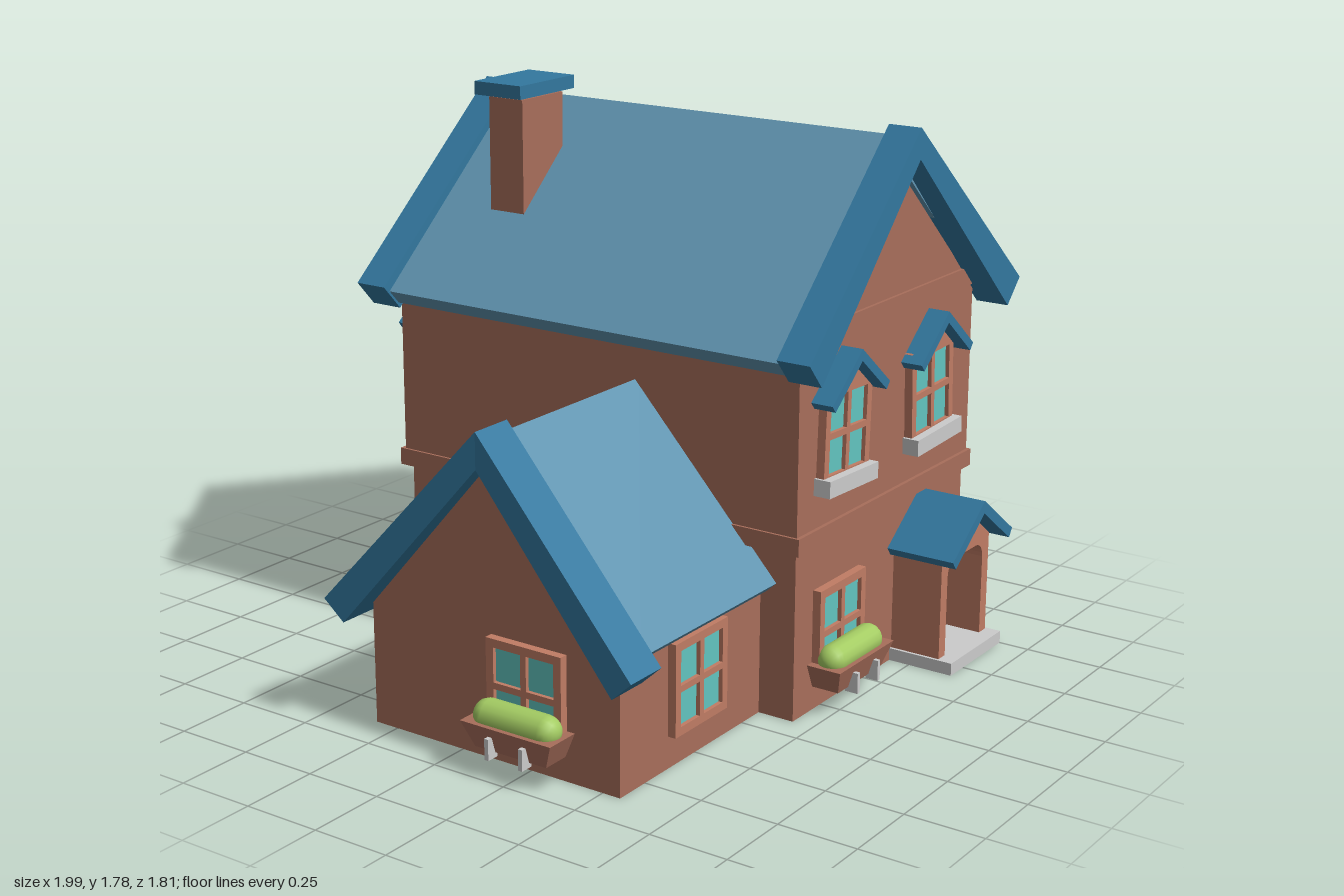
import * as THREE from 'three';

const mat = (color) => new THREE.MeshStandardMaterial({ color });
const WALL = mat(0xa86e5b), TRIM = mat(0xc07c64), ROOF = mat(0x6094b0), EDGE = mat(0x33789f);
const GLASS = mat(0x62c4c0), LEAF = mat(0xa4cc63), STONE = mat(0xcccccc);

const FRONT = 0, LEFT = Math.PI / 2, BACK = Math.PI, RIGHT = -Math.PI / 2;

function add(parent, name, geometry, material, x = 0, y = 0, z = 0) {
  const mesh = new THREE.Mesh(geometry, material);
  mesh.name = name;
  mesh.position.set(x, y, z);
  parent.add(mesh);
  return mesh;
}

// Box given by its lower and upper corners
function block(parent, name, material, [x0, y0, z0], [x1, y1, z1]) {
  return add(parent, name, new THREE.BoxGeometry(x1 - x0, y1 - y0, z1 - z0), material,
    (x0 + x1) / 2, (y0 + y1) / 2, (z0 + z1) / 2);
}

const polygon = (points) => new THREE.Shape(points.map(([x, y]) => new THREE.Vector2(x, y)));
const rect = (x0, y0, x1, y1) => polygon([[x0, y0], [x1, y0], [x1, y1], [x0, y1]]);

function extrude(shape, z0, z1) {
  const g = new THREE.ExtrudeGeometry(shape, { depth: z1 - z0, bevelEnabled: false, curveSegments: 6 });
  return g.translate(0, 0, z0);
}

// Inverted V: eaves at y = 0, ridge at y = rise; flare pushes the eaves outward in z
function chevron(w, rise, t, z0, z1, drop, flare = 0) {
  const a = Math.atan2(rise, w), ix = w - t * Math.sin(a), iy = -t * Math.cos(a);
  const apex = rise - (drop ?? t / Math.cos(a));
  const g = extrude(polygon([[-w, 0], [-ix, iy], [0, apex], [ix, iy], [w, 0], [0, rise]]), z0, z1);
  const p = g.attributes.position;
  for (let i = 0; i < p.count; i++) p.setZ(i, p.getZ(i) + flare * Math.abs(p.getX(i)) / w);
  g.computeVertexNormals();
  return g;
}

// Thin walls of a storey, open below
function wallRing(parent, name, x0, x1, z0, z1, h) {
  const t = 0.01, shape = rect(x0, -z1, x1, -z0);
  shape.holes.push(rect(x0 + t, -z1 + t, x1 - t, -z0 - t));
  add(parent, name, extrude(shape, 0, h).rotateX(-Math.PI / 2), WALL);
}

// Frame with four panes; origin at the middle of its lower edge
function windowFrame(parent, w, h, peak, tilt) {
  const g = new THREE.Group();
  g.name = 'windowFrame';
  const outline = [[-w / 2, 0], [w / 2, 0], [w / 2, h], [-w / 2, h]];
  if (peak) outline.splice(3, 0, [0, h + peak]);
  const shape = polygon(outline), b = 0.026, m = 0.01;
  for (const s of [-1, 1]) {
    const xa = s < 0 ? -w / 2 + b : m, xb = s < 0 ? -m : w / 2 - b;
    shape.holes.push(rect(xa, b, xb, h / 2 - m), rect(xa, h / 2 + m, xb, h - b));
  }
  add(g, 'frame', extrude(shape, -0.025, 0.027), TRIM);
  block(g, 'glass', GLASS, [-w / 2 + 0.01, 0.01, -0.012], [w / 2 - 0.01, h - 0.01, 0.014]);
  g.rotation.z = tilt;
  parent.add(g);
  return g;
}

// Tapered planter with a rounded hedge and two brackets
function flowerBox(parent) {
  const g = new THREE.Group();
  g.name = 'flowerBox';
  const box = new THREE.BoxGeometry(0.32, 0.08, 0.115).translate(0, 0.115, 0.0575);
  const p = box.attributes.position;
  for (let i = 0; i < p.count; i++) {
    if (p.getY(i) < 0.1) p.setXYZ(i, p.getX(i) * 0.79, p.getY(i), p.getZ(i) * 0.78);
  }
  box.computeVertexNormals();
  add(g, 'planter', box, WALL);
  add(g, 'hedge', new THREE.CapsuleGeometry(0.047, 0.2, 6, 14).rotateZ(Math.PI / 2), LEAF, 0, 0.168, 0.055);
  for (const x of [-0.06, 0.06]) {
    block(g, 'bracket', STONE, [x - 0.007, 0.06, 0.08], [x + 0.007, 0.125, 0.122]);
  }
  parent.add(g);
}

// Group on a wall, facing outward
function onWall(parent, name, side, x, y, z) {
  const g = new THREE.Group();
  g.name = name;
  g.position.set(x, y, z);
  g.rotation.y = side;
  parent.add(g);
  return g;
}

function lowerWindow(parent, side, x, z, boxed, tilt = 0) {
  const g = onWall(parent, 'lowerWindow', side, x, 0, z);
  windowFrame(g, 0.265, 0.285, 0, tilt).position.y = 0.1;
  if (boxed) flowerBox(g);
}

function upperWindow(parent, side, x, y, z, tilt) {
  const g = onWall(parent, 'upperWindow', side, x, y, z);
  const frame = windowFrame(g, 0.26, 0.29, 0.09, tilt);
  frame.position.y = 0.03;
  block(frame, 'sill', STONE, [-0.14, -0.03, 0], [0.14, 0.022, 0.055]);
  add(g, 'windowRoof', chevron(0.165, 0.135, 0.028, 0, 0.072), EDGE, 0, 0.295, 0);
}

export function createModel() {
  const house = new THREE.Group();
  house.name = 'house';
  const cx = 0.355, wz = 0.115;

  // Main body: open lower storey, gabled upper storey, bands
  wallRing(house, 'lowerWalls', -0.157, 0.86, -0.775, 0.68, 0.53);
  add(house, 'upperStorey', extrude(polygon(
    [[-0.17, 0.53], [0.87, 0.53], [0.87, 1.13], [cx, 1.6], [-0.17, 1.13]]), -0.795, 0.69), WALL);
  block(house, 'floorBand', WALL, [-0.178, 0.53, -0.81], [0.878, 0.585, 0.702]);
  block(house, 'gableBand', WALL, [cx - 0.5, 1.14, -0.805], [cx + 0.5, 1.2, 0.7]);

  // Main roof and its flared gable trim
  add(house, 'mainRoof', chevron(0.615, 0.56, 0.06, -0.8, 0.7), ROOF, cx, 1.13, 0);
  for (const [side, z] of [[FRONT, 0], [BACK, -0.085]]) {
    const g = onWall(house, 'gableTrim', side, cx, 1.147, z);
    add(g, 'trim', chevron(0.64, 0.573, 0.107, 0.66, 0.77, 0.095, 0.022), EDGE);
  }

  // Chimney
  block(house, 'chimney', WALL, [0.005, 1.2, -0.565], [0.21, 1.73, -0.435]);
  block(house, 'chimneyCap', EDGE, [-0.03, 1.738, -0.595], [0.245, 1.78, -0.415]);

  // Side wing
  wallRing(house, 'wingWalls', -0.87, -0.157, wz - 0.445, wz + 0.445, 0.4);
  const wing = onWall(house, 'wing', RIGHT, 0, 0, wz);
  add(wing, 'wingGable', extrude(polygon(
    [[-0.445, 0.4], [0.445, 0.4], [0.445, 0.415], [0, 0.9], [-0.445, 0.415]]), 0.157, 0.87), WALL);
  add(wing, 'wingRoof', chevron(0.5, 0.545, 0.045, 0.15, 0.85), ROOF, 0, 0.425, 0);
  add(wing, 'wingTrim', chevron(0.55, 0.6, 0.092, 0.787, 0.93, 0.11, 0.035), EDGE, 0, 0.4, 0);

  // Ground floor windows
  lowerWindow(house, FRONT, 0.078, 0.68, true);
  lowerWindow(house, FRONT, -0.505, wz + 0.445, false);
  lowerWindow(house, BACK, 0.09, -0.775, true);
  lowerWindow(house, BACK, 0.58, -0.775, true);
  lowerWindow(house, BACK, -0.5, wz - 0.445, false);
  lowerWindow(house, LEFT, 0.86, 0.435, true);
  lowerWindow(house, LEFT, 0.86, -0.055, false, -0.04);
  lowerWindow(house, LEFT, 0.86, -0.465, true);
  lowerWindow(house, RIGHT, -0.157, -0.52, false);
  lowerWindow(house, RIGHT, -0.87, 0.245, true);

  // Upper windows, slightly crooked
  for (const [x, tilt] of [[0.06, -0.04], [0.585, 0.04]]) {
    upperWindow(house, FRONT, x, 0.685, 0.69, tilt);
    upperWindow(house, BACK, x, 0.685, -0.795, tilt);
  }
  upperWindow(house, LEFT, 0.87, 0.635, 0.35, 0.06);
  upperWindow(house, LEFT, 0.87, 0.635, -0.48, -0.03);

  // Porch: arched surround, door, step and roof
  const porch = onWall(house, 'porch', FRONT, 0.585, 0, 0.68);
  const surround = polygon([[-0.155, 0.03], [-0.115, 0.03], [-0.115, 0.3]]);
  surround.quadraticCurveTo(-0.112, 0.345, -0.07, 0.35);
  surround.lineTo(0.07, 0.35);
  surround.quadraticCurveTo(0.112, 0.345, 0.115, 0.3);
  for (const [x, y] of [[0.115, 0.03], [0.155, 0.03], [0.155, 0.37], [0, 0.485], [-0.155, 0.37]]) surround.lineTo(x, y);
  add(porch, 'surround', extrude(surround, 0, 0.17), TRIM);
  const door = polygon([[-0.1, 0.03], [0.1, 0.03], [0.1, 0.29]]);
  door.quadraticCurveTo(0.09, 0.335, 0, 0.34);
  door.quadraticCurveTo(-0.09, 0.335, -0.1, 0.29);
  add(porch, 'door', extrude(door, -0.02, 0.012), WALL);
  block(porch, 'step', STONE, [-0.165, 0, -0.01], [0.165, 0.04, 0.22]);
  add(porch, 'porchRoof', chevron(0.197, 0.145, 0.033, -0.01, 0.23), EDGE, 0, 0.385, 0);

  return house;
}
